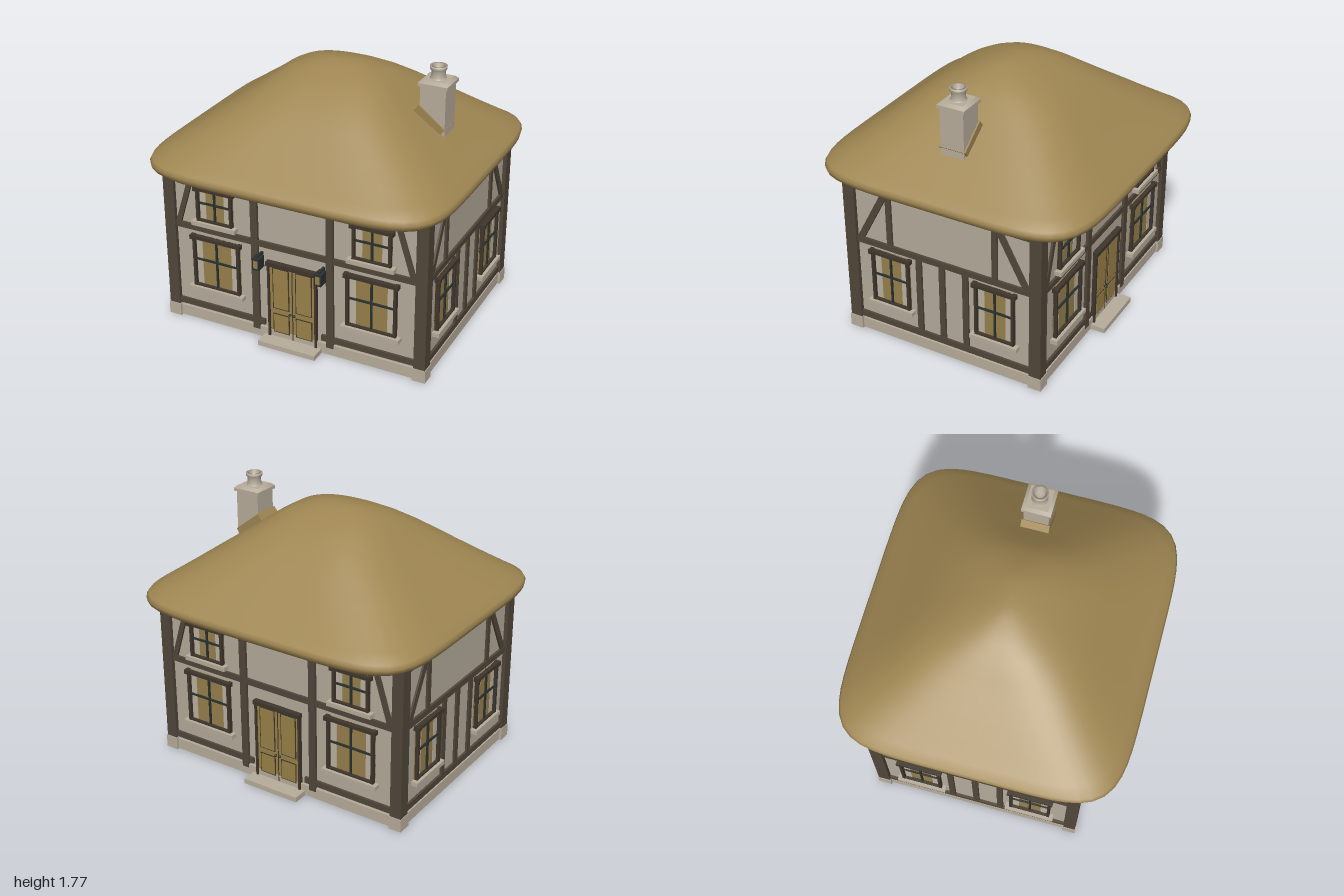
import * as THREE from 'three';

const mat = (name, color) => Object.assign(new THREE.MeshStandardMaterial({ color }), { name });
const M = {
  thatch: mat('thatch', 0x9f8652),
  plaster: mat('plaster', 0xb5ab9b),
  stone: mat('stone', 0xb8ad9c),
  timber: mat('timber', 0x51463a),
  frame: mat('dark frame', 0x40372d),
  door: mat('door wood', 0x9a8248),
  glass: mat('warm glass', 0x97804c),
  curtain: mat('curtain', 0xbcb3a2),
  metal: mat('dark metal', 0x2a3230),
};

function add(parent, name, geo, material) {
  const m = new THREE.Mesh(geo, material);
  m.name = name;
  parent.add(m);
  return m;
}

// Box given by its extents on each axis
function box(parent, name, material, x0, x1, y0, y1, z0, z1) {
  const g = new THREE.BoxGeometry(x1 - x0, y1 - y0, z1 - z0);
  g.translate((x0 + x1) / 2, (y0 + y1) / 2, (z0 + z1) / 2);
  return add(parent, name, g, material);
}

function group(parent, name) {
  const g = new THREE.Group();
  g.name = name;
  parent.add(g);
  return g;
}

// Slanted timber leaning from its foot (x0) to its head (x1)
function brace(parent, x0, x1, y0, y1, w, depth) {
  const pts = [[x0 - w, y0], [x0 + w, y0], [x1 + w, y1], [x1 - w, y1]];
  const s = new THREE.Shape(pts.map(p => new THREE.Vector2(...p)));
  add(parent, 'brace', new THREE.ExtrudeGeometry(s, { depth, bevelEnabled: false }), M.timber);
}

// Window with frame, glazing bars, curtains and sill; cx is its centre, w half its width
function windowUnit(parent, cx, w, y0, y1) {
  const g = group(parent, 'window');
  g.position.x = cx;
  const t = 0.018, ym = y0 + (y1 - y0) * 0.53;
  box(g, 'glass', M.glass, -w, w, y0, y1, 0, 0.006);
  for (const s of [-1, 1]) {
    const c = s * (w - 0.042);
    box(g, 'curtain', M.curtain, c - 0.021, c + 0.021, y0 + 0.015, y1 - 0.03, 0.006, 0.009);
    const j = s * (w - t / 2);
    box(g, 'jamb', M.frame, j - t / 2, j + t / 2, y0, y1, 0, 0.028);
    const e = s * (w + 0.001);
    box(g, 'headerEnd', M.frame, e - 0.013, e + 0.013, y1 - 0.026, y1 + 0.003, 0, 0.038);
  }
  box(g, 'header', M.frame, -w, w, y1 - 0.022, y1, 0, 0.034);
  box(g, 'bottomRail', M.frame, -w, w, y0, y0 + 0.012, 0, 0.026);
  box(g, 'glazingBar', M.metal, -0.006, 0.006, y0, y1, 0, 0.018);
  box(g, 'glazingBar', M.metal, -w, w, ym - 0.006, ym + 0.006, 0, 0.018);
  box(g, 'sill', M.stone, -w - 0.028, w + 0.028, y0 - 0.028, y0, 0, 0.046);
}

// Double panelled door with frame and step
function doorUnit(parent) {
  const g = group(parent, 'door');
  box(g, 'doorLeaves', M.door, -0.158, 0.158, 0.03, 0.55, 0, 0.014);
  box(g, 'doorGap', M.frame, -0.003, 0.003, 0.03, 0.55, 0.01, 0.016);
  box(g, 'header', M.frame, -0.176, 0.176, 0.547, 0.574, 0, 0.036);
  for (const s of [-1, 1]) {
    box(g, 'jamb', M.frame, s * 0.164 - 0.007, s * 0.164 + 0.007, 0.03, 0.55, 0, 0.026);
    for (const [a, b] of [[0.24, 0.535], [0.065, 0.205]]) {
      const c = s * 0.08;
      box(g, 'panelGroove', M.frame, c - 0.058, c + 0.058, a, b, 0.01, 0.016);
      box(g, 'panel', M.door, c - 0.051, c + 0.051, a + 0.007, b - 0.007, 0.01, 0.019);
    }
    const k = add(g, 'knob', new THREE.SphereGeometry(0.009, 12, 8), M.metal);
    k.position.set(s * 0.015, 0.222, 0.022);
  }
  box(g, 'step', M.stone, -0.2, 0.2, 0, 0.033, 0, 0.112);
}

// Lantern hung beside the door
function lantern(parent, x) {
  const g = group(parent, 'lantern');
  g.position.set(x, 0, 0.065);
  box(g, 'bracket', M.metal, -0.008, 0.008, 0.6, 0.622, -0.065, 0.005);
  box(g, 'cap', M.metal, -0.026, 0.026, 0.598, 0.61, -0.026, 0.026);
  box(g, 'base', M.metal, -0.024, 0.024, 0.53, 0.54, -0.024, 0.024);
  box(g, 'lampGlass', M.glass, -0.018, 0.018, 0.54, 0.6, -0.014, 0.022);
  box(g, 'backPlate', M.metal, -0.024, 0.024, 0.53, 0.61, -0.045, -0.014);
  for (const s of [-1, 1]) {
    box(g, 'sidePlate', M.metal, s * 0.02 - 0.004, s * 0.02 + 0.004, 0.53, 0.61, -0.024, 0.024);
  }
}

// Wall with the door, seen facing +z
function longWall(parent, name, turn, lanterns) {
  const g = group(parent, name);
  g.rotation.y = turn;
  const f = group(g, 'facade');
  f.position.z = 0.665;
  box(f, 'topBeam', M.timber, -0.83, 0.83, 1.045, 1.085, 0, 0.016);
  box(f, 'middleBeam', M.timber, -0.83, 0.83, 0.66, 0.7, 0, 0.016);
  for (const s of [-1, 1]) {
    box(f, 'bottomBeam', M.timber, s * 0.515 - 0.315, s * 0.515 + 0.315, 0.095, 0.135, 0, 0.016);
    box(f, 'post', M.timber, s * 0.26 - 0.024, s * 0.26 + 0.024, 0.055, 1.05, 0, 0.019);
    // corner order stays counter-clockwise on both sides
    brace(f, s * 0.81, s * 0.7, 0.695, 1.05, 0.018, 0.014);
    windowUnit(f, s * 0.54, 0.168, 0.265, 0.628);
    windowUnit(f, s * 0.54, 0.128, 0.742, 0.978);
    if (lanterns) lantern(f, s * 0.215);
  }
  doorUnit(f);
}

// Wall without a door
function endWall(parent, name, turn) {
  const g = group(parent, name);
  g.rotation.y = turn;
  const f = group(g, 'facade');
  f.position.z = 0.88;
  for (const [n, a, b] of [['topBeam', 1.04, 1.085], ['middleBeam', 0.66, 0.7], ['bottomBeam', 0.092, 0.135]]) {
    box(f, n, M.timber, -0.61, 0.61, a, b, 0, 0.016);
  }
  for (const x of [-0.165, 0, 0.165]) box(f, 'lowerPost', M.timber, x - 0.02, x + 0.02, 0.13, 0.665, 0, 0.014);
  for (const s of [-1, 1]) {
    box(f, 'upperPost', M.timber, s * 0.37 - 0.019, s * 0.37 + 0.019, 0.695, 1.045, 0, 0.014);
    brace(f, s * 0.585, s * 0.4, 0.695, 1.045, 0.024, 0.013);
    windowUnit(f, s * 0.37, 0.136, 0.265, 0.635);
  }
}

// Thatched roof: rounded-square rings of half width, half depth, height and squareness
function roofGeometry() {
  const rings = [
    [0.8, 0.6, 1.088, 8], [0.93, 0.85, 1.085, 6], [0.972, 0.893, 1.092, 6], [0.994, 0.916, 1.112, 6],
    [1, 0.922, 1.14, 6], [0.988, 0.91, 1.165, 6], [0.93, 0.855, 1.205, 5.8], [0.82, 0.755, 1.284, 5.2],
    [0.7, 0.645, 1.372, 4.6], [0.58, 0.545, 1.457, 4], [0.48, 0.45, 1.53, 3.5], [0.39, 0.345, 1.598, 3],
    [0.3, 0.24, 1.652, 2.6], [0.17, 0.11, 1.697, 2.2], [0.08, 0.04, 1.707, 2], [0.001, 0.001, 1.709, 2],
  ];
  const N = 96, pos = [], idx = [];
  rings.forEach(([hx, hz, y, n], i) => {
    for (let j = 0; j < N; j++) {
      const a = (j / N) * Math.PI * 2, c = Math.cos(a), s = Math.sin(a);
      const r = (Math.abs(c) ** n + Math.abs(s) ** n) ** (-1 / n);
      pos.push(hx * r * c, y, hz * r * s);
      if (i === rings.length - 1) continue;
      const k = (j + 1) % N, A = i * N + j, B = i * N + k;
      idx.push(A, A + N, B, B, A + N, B + N);
    }
  });
  const g = new THREE.BufferGeometry();
  g.setAttribute('position', new THREE.Float32BufferAttribute(pos, 3));
  g.setIndex(idx);
  g.computeVertexNormals();
  return g;
}

function chimney(parent) {
  const g = group(parent, 'chimney');
  g.position.x = 0.65;
  box(g, 'stack', M.stone, -0.083, 0.083, 1.3, 1.66, -0.08, 0.08);
  box(g, 'cap', M.stone, -0.096, 0.096, 1.655, 1.675, -0.093, 0.093);
  const slope = new THREE.CylinderGeometry(0.075 * Math.SQRT2, 0.096 * Math.SQRT2, 0.018, 4);
  slope.rotateY(Math.PI / 4);
  slope.scale(1, 1, 0.97);
  slope.translate(0, 1.684, 0);
  add(g, 'capSlope', slope, M.stone);
  const pts = [[0.055, 1.69], [0.045, 1.702], [0.042, 1.74], [0.053, 1.754], [0.053, 1.772], [0.036, 1.772], [0.033, 1.71], [0, 1.71]];
  add(g, 'pot', new THREE.LatheGeometry(pts.map(p => new THREE.Vector2(...p)), 24), M.stone);
  // thatch collar lying along the roof slope
  const collar = box(g, 'collar', M.thatch, -0.11, 0.11, -0.04, 0.04, -0.09, 0.09);
  collar.position.set(-0.025, 1.433, 0);
  collar.rotation.z = -0.663;
}

export function createModel() {
  const house = new THREE.Group();
  house.name = 'cottage';
  box(house, 'plinth', M.stone, -0.895, 0.895, 0.004, 0.078, -0.68, 0.68);
  box(house, 'walls', M.plaster, -0.88, 0.88, 0.07, 1.1, -0.665, 0.665);
  for (const sx of [-1, 1]) for (const sz of [-1, 1]) {
    const x = sx * 0.867, z = sz * 0.65;
    box(house, 'cornerPost', M.timber, x - 0.038, x + 0.038, 0.08, 1.1, z - 0.04, z + 0.04);
    box(house, 'cornerStone', M.stone, x - 0.043, x + 0.043, 0, 0.086, z - 0.045, z + 0.045);
  }
  longWall(house, 'frontWall', 0, true);
  longWall(house, 'backWall', Math.PI, false);
  endWall(house, 'leftWall', Math.PI / 2);
  endWall(house, 'rightWall', -Math.PI / 2);
  add(house, 'roof', roofGeometry(), M.thatch);
  chimney(house);
  return house;
}
